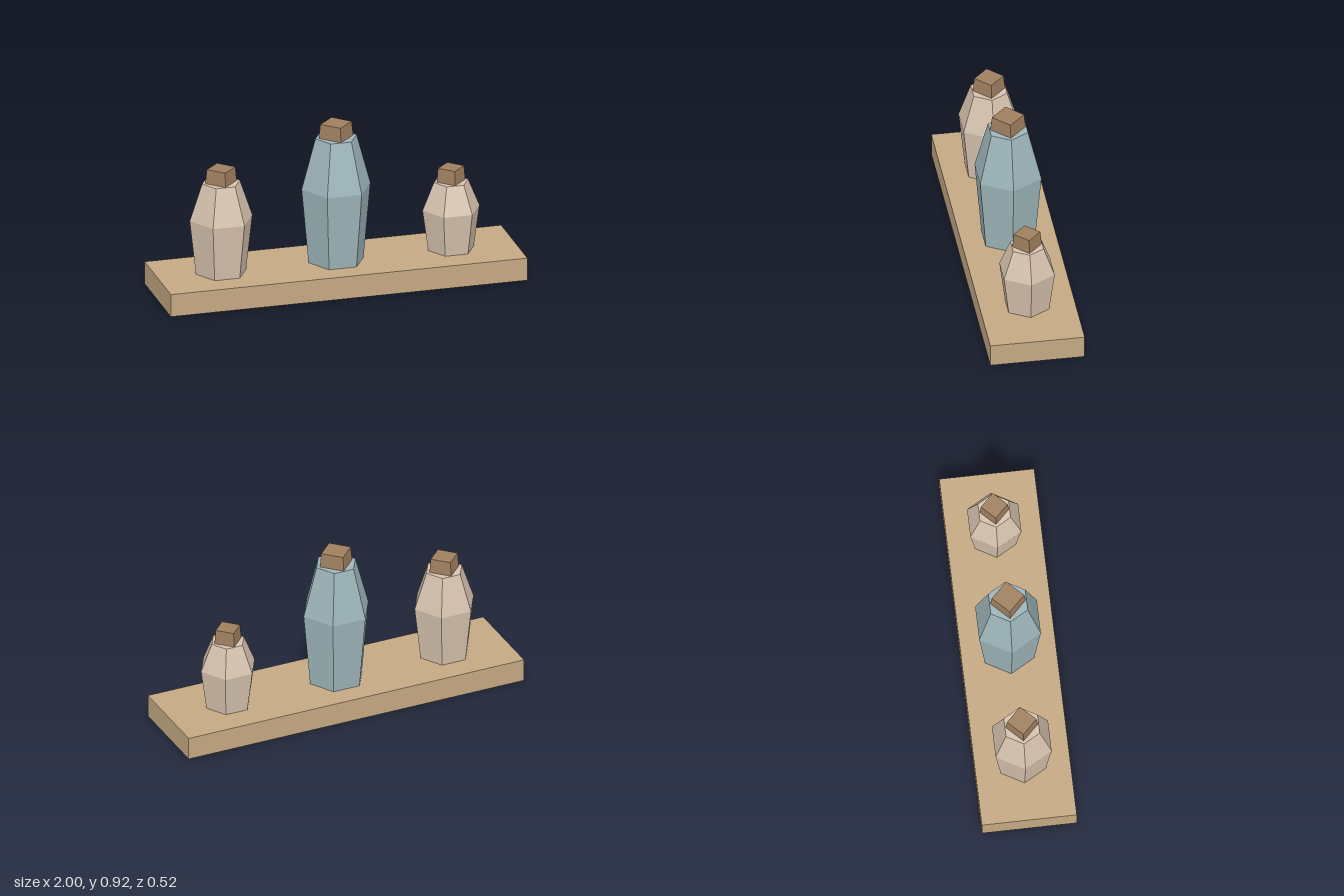
import * as THREE from 'three';

const BOARD_TOP = 0.128;

function part(name, geometry, color) {
  const mesh = new THREE.Mesh(geometry, new THREE.MeshStandardMaterial({ color, flatShading: true }));
  mesh.name = name;
  return mesh;
}

// Faceted solid of revolution from [radius, y] pairs, with corners on the x axis
function faceted(profile, sides) {
  const points = profile.map(([r, y]) => new THREE.Vector2(r, y));
  return new THREE.LatheGeometry(points, sides, Math.PI / 2);
}

// Six-sided bottle widest at 60% of its height, with a four-sided stopper
function createBottle(name, x, radius, height, color) {
  const bottle = new THREE.Group();
  bottle.name = name;
  bottle.position.set(x, BOARD_TOP, 0);

  bottle.add(part('bottleBody', faceted([
    [0, 0],
    [radius * 0.8, 0],
    [radius, height * 0.6],
    [radius * 0.6, height],
    [0, height],
  ], 6), color));

  const stopperHeight = 0.08;
  bottle.add(part('stopper', faceted([
    [0, height],
    [radius * 0.5, height],
    [radius * 0.455, height + stopperHeight],
    [0, height + stopperHeight],
  ], 4), 0xa0805f));
  return bottle;
}

export function createModel() {
  const model = new THREE.Group();
  model.name = 'bottlesOnBoard';

  const board = part('board', new THREE.BoxGeometry(2, BOARD_TOP, 0.516), 0xc4a882);
  board.position.y = BOARD_TOP / 2;
  model.add(board);

  model.add(createBottle('rightBottle', -0.645, 0.176, 0.518, 0xd6c2ae));
  model.add(createBottle('middleBottle', 0, 0.193, 0.712, 0x9db5ba));
  model.add(createBottle('leftBottle', 0.645, 0.16, 0.389, 0xd6c2ae));
  return model;
}
